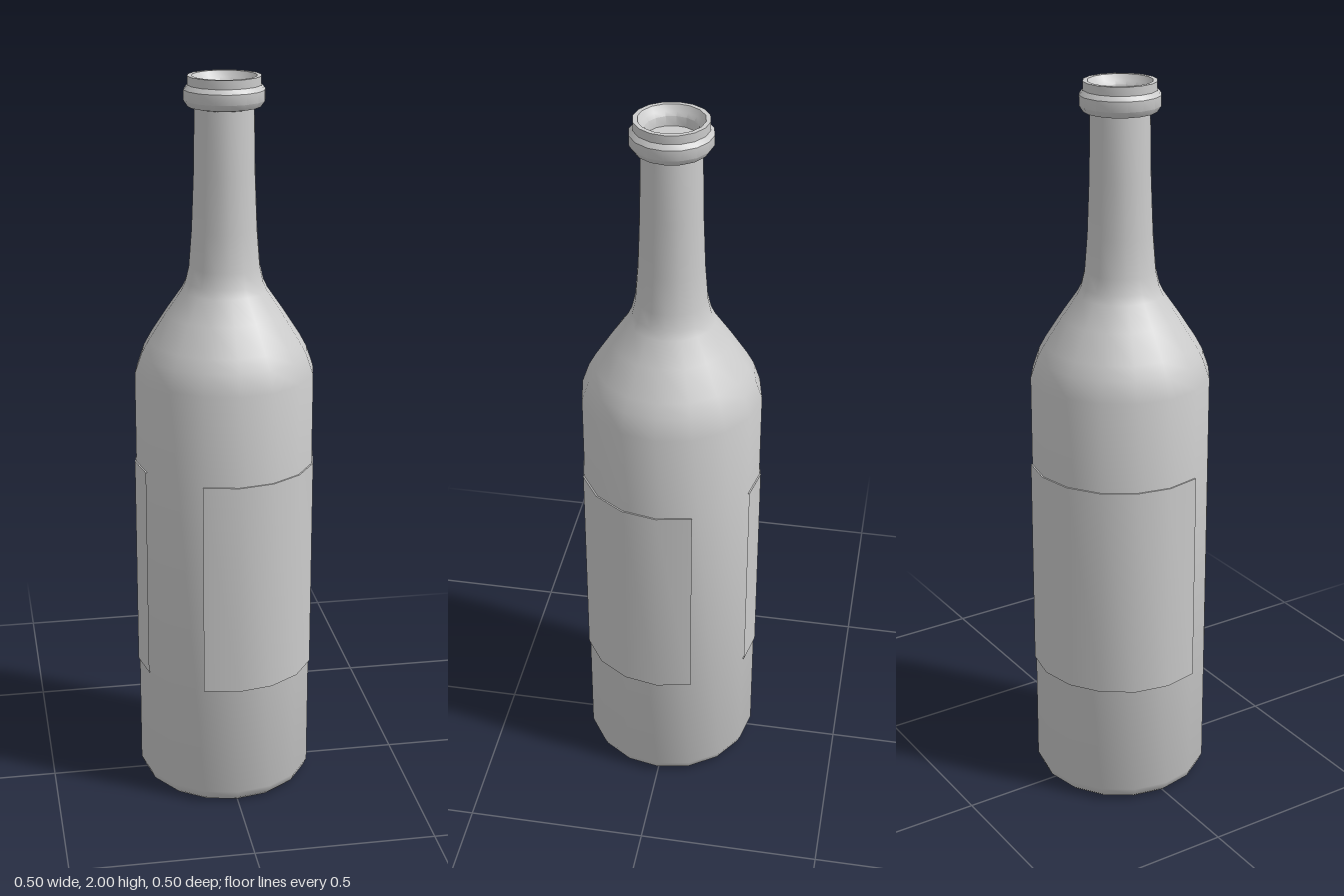
import * as THREE from 'three';
import { toCreasedNormals } from 'three/addons/utils/BufferGeometryUtils.js';

const SIDES = 16;

// Revolves [radius, height] pairs, listed from the underside outwards and up
function revolve(name, profile, material, segments = SIDES, start = 0, sweep = Math.PI * 2) {
  const points = profile.map(([r, y]) => new THREE.Vector2(r, y));
  const geometry = new THREE.LatheGeometry(points, segments, start, sweep);
  const mesh = new THREE.Mesh(toCreasedNormals(geometry, 0.65), material);
  mesh.name = name;
  return mesh;
}

export function createModel() {
  const group = new THREE.Group();
  group.name = 'bottle';
  const glass = new THREE.MeshStandardMaterial({ color: 0xcccccc });
  const paper = new THREE.MeshStandardMaterial({ color: 0xcccccc, side: THREE.DoubleSide });

  // Body with recessed base, sloping shoulder and slim neck
  group.add(revolve('body', [
    [0, 0.06], [0.135, 0.055], [0.17, 0.035], [0.2, 0.005], [0.208, 0],
    [0.222, 0], [0.235, 0.012], [0.245, 0.035],
    [0.245, 1.21], [0.226, 1.265], [0.207, 1.3], [0.16, 1.373],
    [0.117, 1.435], [0.106, 1.458], [0.096, 1.5], [0.088, 1.6],
    [0.082, 1.75], [0.079, 1.93],
  ], glass));

  // Lip ring, rim and the closed mouth inside it
  group.add(revolve('lip', [
    [0.078, 1.918], [0.096, 1.922], [0.107, 1.938], [0.107, 1.965],
    [0.097, 1.977], [0.097, 2], [0.085, 2], [0.076, 1.985],
    [0.068, 1.975], [0.066, 1.95], [0, 1.95],
  ], glass));

  // Two wrapped label panels on opposite sides, each six facets wide
  const step = (Math.PI * 2) / SIDES;
  const panel = [[0.2445, 0.355], [0.249, 0.355], [0.249, 0.957], [0.2445, 0.957]];
  group.add(revolve('frontLabel', panel, paper, 6, -step, step * 6));
  group.add(revolve('backLabel', panel, paper, 6, step * 7, step * 6));

  return group;
}
